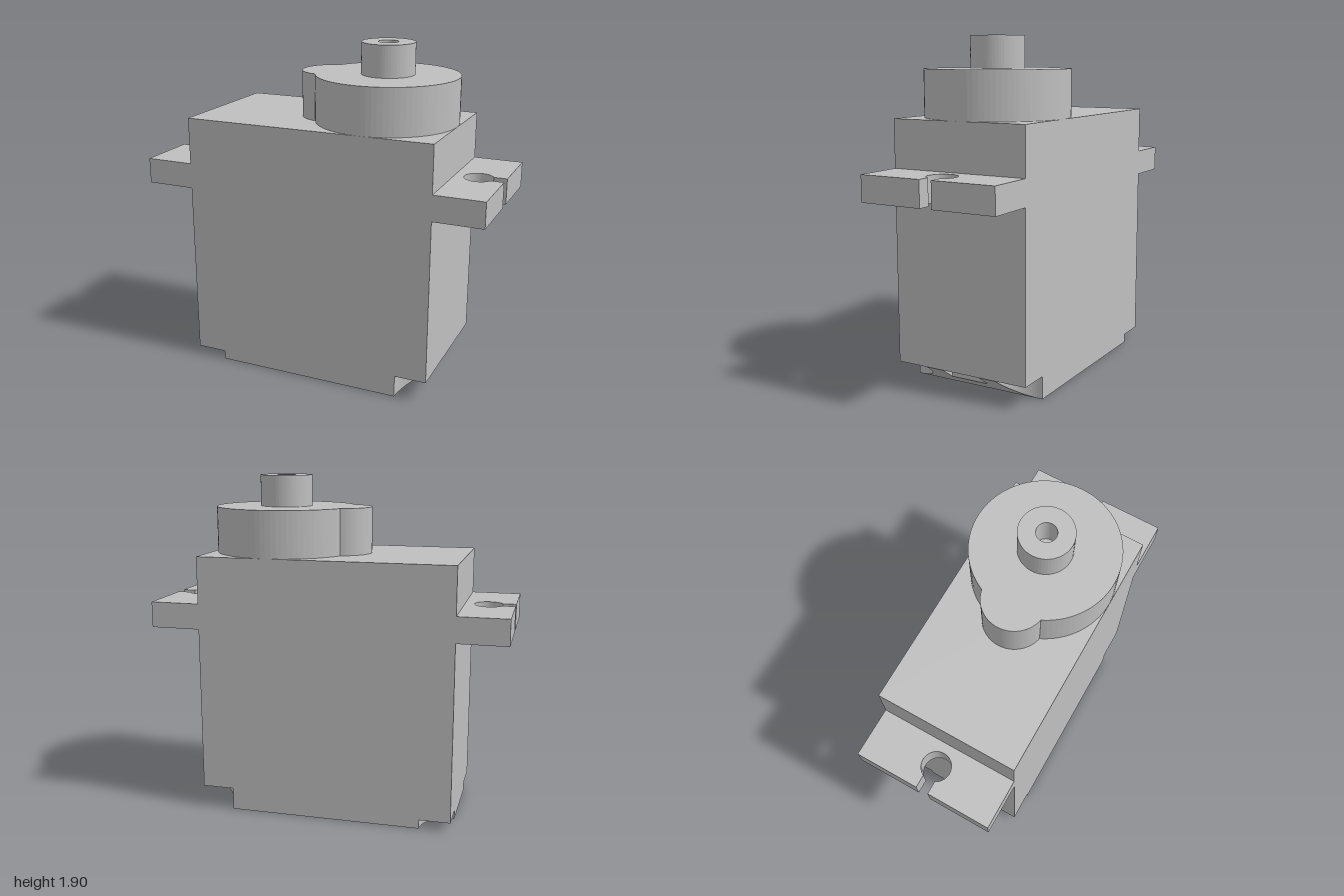
import * as THREE from 'three';

const casing = new THREE.MeshStandardMaterial({ color: 0xbfbfbf });
casing.name = 'grey casing';

const W = 0.72, D = 0.4, TOP = 1.465; // half width, half depth, casing top

// Extrude a footprint drawn in x and z between two heights
function slab(name, shape, bottom, top, curveSegments) {
  const geo = new THREE.ExtrudeGeometry(shape, { depth: top - bottom, bevelEnabled: false, curveSegments });
  geo.rotateX(Math.PI / 2).translate(0, top, 0);
  const mesh = new THREE.Mesh(geo, casing);
  mesh.name = name;
  return mesh;
}

export function createModel() {
  const model = new THREE.Group();
  model.name = 'servoMotor';

  // Main casing, stepped at the bottom for the ramp and foot
  const side = new THREE.Shape([
    [-W, 0.05], [0.54, 0.05], [0.54, 0.125], [W, 0.125], [W, TOP], [-W, TOP],
  ].map(([x, y]) => new THREE.Vector2(x, y)));
  const bodyGeo = new THREE.ExtrudeGeometry(side, { depth: 2 * D, bevelEnabled: false });
  bodyGeo.translate(0, 0, -D);
  const body = new THREE.Mesh(bodyGeo, casing);
  body.name = 'casing';
  model.add(body);

  // Shallow foot with scooped corners
  const foot = new THREE.Shape();
  foot.moveTo(0.54, -D);
  foot.lineTo(0.54, D);
  foot.absarc(-W, D, 0.175, 0, -Math.PI / 2, true);
  foot.absarc(-W, -D, 0.175, Math.PI / 2, 0, true);
  model.add(slab('foot', foot, 0, 0.05, 10));

  // Sloped end with scooped corners and a cable slot
  const ramp = new THREE.Shape();
  ramp.moveTo(0.54, -D);
  ramp.absarc(W, -D, 0.18, Math.PI, Math.PI / 2, true);
  for (const [x, z] of [[W, -0.115], [0.626, -0.115], [0.626, 0.115], [W, 0.115]]) ramp.lineTo(x, z);
  ramp.absarc(W, D, 0.18, -Math.PI / 2, -Math.PI, true);
  const rampMesh = slab('slopedEnd', ramp, 0, 0.125, 10);
  const pos = rampMesh.geometry.attributes.position;
  for (let i = 0; i < pos.count; i++) {
    if (pos.getY(i) < 0.06) pos.setY(i, 0.125 * (pos.getX(i) - 0.54) / 0.18);
  }
  rampMesh.geometry.computeVertexNormals();
  model.add(rampMesh);

  // Mounting tabs with keyhole slots
  const tab = new THREE.Shape();
  const slot = 0.035, r = 0.081, a = Math.asin(slot / r);
  tab.moveTo(W, -D);
  tab.lineTo(1, -D);
  tab.lineTo(1, -slot);
  tab.absarc(0.853, 0, r, -a, a - 2 * Math.PI, true);
  tab.lineTo(1, slot);
  tab.lineTo(1, D);
  tab.lineTo(W, D);
  for (const name of ['leftTab', 'rightTab']) {
    const mesh = slab(name, tab, 1.055, 1.2, 28);
    if (name === 'rightTab') mesh.rotation.y = Math.PI;
    model.add(mesh);
  }

  // Gear housing: a large round merged with a small one
  const housing = new THREE.Shape();
  housing.absarc(0.32, 0, 0.399, -2.7, 2.7, false);
  housing.absarc(-0.007, 0, 0.173, 1.763, 2 * Math.PI - 1.763, false);
  model.add(slab('gearHousing', housing, TOP, 1.725, 36));

  // Output shaft with a screw bore
  const shaft = new THREE.Shape().absarc(0.32, 0, 0.148, 0, 2 * Math.PI, false);
  shaft.holes.push(new THREE.Path().absarc(0.32, 0, 0.055, 0, 2 * Math.PI, true));
  model.add(slab('outputShaft', shaft, 1.725, 1.9, 28));

  return model;
}
